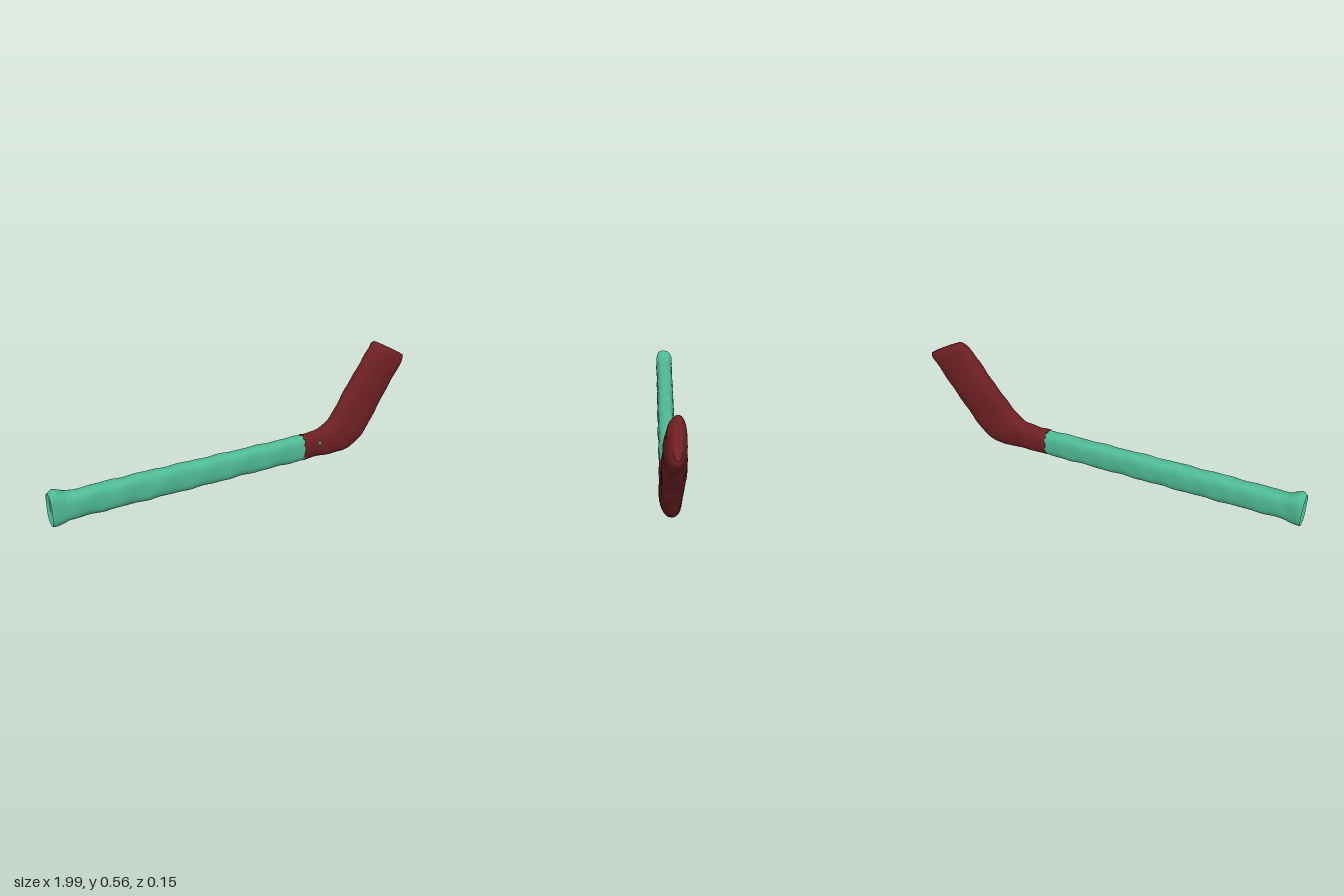
import * as THREE from 'three';
import { toCreasedNormals } from 'three/addons/utils/BufferGeometryUtils.js';

const SIDES = 32;

// Section rows: [bottomX, bottomY, topX, topY, zCentre, halfThickness]
const SHAFT = [
  [-0.985, 0.012, -0.99, 0.165, 0.029, 0.043],
  [-0.97, 0.012, -0.965, 0.181, 0.029, 0.047],
  [-0.93, 0.018, -0.93, 0.168, 0.029, 0.046],
  [-0.88, 0.025, -0.88, 0.157, 0.028, 0.044],
  [-0.6, 0.022, -0.6, 0.157, 0.022, 0.043],
  [-0.3, 0.018, -0.3, 0.153, 0.017, 0.042],
  [0.0, 0.016, 0.0, 0.148, 0.011, 0.041],
  [0.345, 0.011, 0.345, 0.144, 0.004, 0.039],
];
const BLADE = [
  [0.34, 0.008, 0.34, 0.150, 0.004, 0.041],
  [0.42, 0.011, 0.40, 0.147, 0.002, 0.040],
  [0.52, 0.007, 0.46, 0.156, 0.000, 0.042],
  [0.61, 0.005, 0.505, 0.180, -0.006, 0.047],
  [0.68, 0.030, 0.55, 0.224, -0.010, 0.048],
  [0.735, 0.078, 0.59, 0.278, -0.014, 0.048],
  [0.81, 0.180, 0.655, 0.370, -0.021, 0.049],
  [0.89, 0.300, 0.725, 0.465, -0.026, 0.049],
  [0.965, 0.405, 0.775, 0.530, -0.031, 0.043],
  [0.99, 0.435, 0.79, 0.552, -0.035, 0.034],
  [0.995, 0.460, 0.808, 0.560, -0.037, 0.021],
];

// Gentle unevenness of the wrapped cloth
const ripple = (x, y, a) =>
  0.0016 * Math.sin(x * 31 + 2 * a) + 0.0012 * Math.sin(x * 57 + y * 23 - 3 * a);

// Smooth loft through the rows, closed by a small recess or bulge at each end
function loft(rows, steps, power, startDepth, endDepth, ragged = 0) {
  const bottom = new THREE.CatmullRomCurve3(rows.map(r => new THREE.Vector3(r[0], r[1], 0)), false, 'catmullrom');
  const top = new THREE.CatmullRomCurve3(rows.map(r => new THREE.Vector3(r[2], r[3], 0)), false, 'catmullrom');
  const depth = new THREE.CatmullRomCurve3(rows.map(r => new THREE.Vector3(r[4], r[5], 0)), false, 'catmullrom');
  const pos = [], index = [];
  let rings = 0;

  function ring(t, scale, shift) {
    const b = bottom.getPoint(t), u = top.getPoint(t), d = depth.getPoint(t);
    const mid = b.clone().add(u).multiplyScalar(0.5);
    const half = u.sub(b).multiplyScalar(0.5);
    const along = new THREE.Vector3(half.y, -half.x, 0).normalize();
    for (let j = 0; j < SIDES; j++) {
      const a = j / SIDES * Math.PI * 2, c = Math.cos(a), s = Math.sin(a);
      const e = 2 / power;
      const h = Math.sign(c) * Math.abs(c) ** e * scale;
      const w = Math.sign(s) * Math.abs(s) ** e * scale;
      const k = ripple(mid.x, mid.y, a) * scale;
      const len = half.length();
      const tear = t === 0 ? ragged * Math.sin(9 * a) * scale : 0;
      pos.push(
        mid.x + half.x * (h + k * c / len) + along.x * (shift + tear),
        mid.y + half.y * (h + k * c / len) + along.y * (shift + tear),
        d.x + w * d.y + k * s);
    }
    rings++;
  }

  ring(0, 0.001, startDepth);
  ring(0, 0.8, startDepth * 0.8);
  for (let i = 0; i <= steps; i++) ring(i / steps, 1, 0);
  ring(1, 0.7, endDepth * 0.8);
  ring(1, 0.001, endDepth);

  for (let i = 0; i < rings - 1; i++) {
    for (let j = 0; j < SIDES; j++) {
      const a = i * SIDES + j, b = i * SIDES + (j + 1) % SIDES;
      index.push(a, b, a + SIDES, b, b + SIDES, a + SIDES);
    }
  }
  const geo = new THREE.BufferGeometry();
  geo.setAttribute('position', new THREE.Float32BufferAttribute(pos, 3));
  geo.setIndex(index);
  return toCreasedNormals(geo, 0.8);
}

export function createModel() {
  const group = new THREE.Group();
  const green = new THREE.MeshStandardMaterial({ color: 0x4fba95 });
  const red = new THREE.MeshStandardMaterial({ color: 0x6e2023 });

  function add(name, geometry, material) {
    const mesh = new THREE.Mesh(geometry, material);
    mesh.name = name;
    group.add(mesh);
    return mesh;
  }

  // Long handle with a flared, slightly hollow butt end
  add('shaft', loft(SHAFT, 90, 2.8, 0.015, 0), green);

  // Bent blade with a ragged sleeve edge over the shaft
  add('blade', loft(BLADE, 80, 2.5, 0, 0.003, 0.006), red);

  // Small spot on the front of the sleeve
  const spot = add('spot', new THREE.SphereGeometry(0.009, 12, 8), green);
  spot.scale.z = 0.4;
  spot.position.set(0.43, 0.097, 0.041);

  return group;
}
